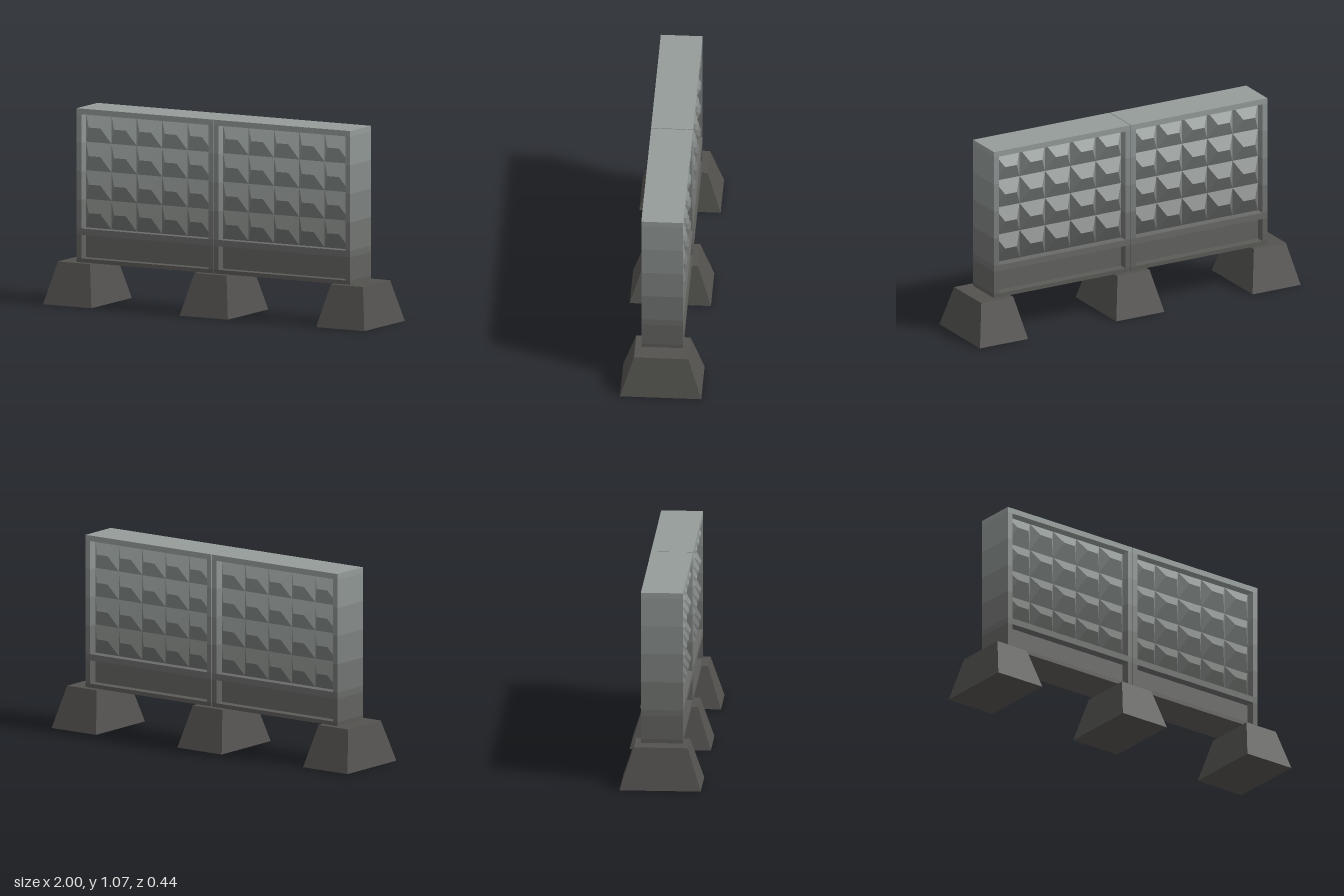
import * as THREE from 'three';
import { mergeGeometries } from 'three/addons/utils/BufferGeometryUtils.js';

const BASE_H = 0.228, TOP = 1.068, HALF = 0.1135, RECESS = 0.05;
const PANEL_X = 0.427, PANEL_HALF = 0.425, OPEN_HALF = 0.395;
const STUDS_Y = 0.413, COLS = 5, ROWS = 4;
const STUD_W = (2 * OPEN_HALF) / COLS, STUD_H = 0.156;

// Weathered concrete: dark near the ground, paler and cooler towards the top
const LOW = new THREE.Color(0x5a5956), HIGH = new THREE.Color(0x959d9b);
const concrete = (color) => new THREE.MeshStandardMaterial({ color, flatShading: true });
const shadeAt = (y) => LOW.clone().lerp(HIGH, (y - BASE_H) / (TOP - BASE_H));

function add(parent, geometry, material, name) {
  const mesh = new THREE.Mesh(geometry, material);
  mesh.name = name;
  parent.add(mesh);
  return mesh;
}

// Foot: a box whose upper corners are drawn inwards
function footGeometry() {
  const g = new THREE.BoxGeometry(0.3, BASE_H, 0.44).toNonIndexed();
  const p = g.attributes.position;
  for (let i = 0; i < p.count; i++) {
    if (p.getY(i) > 0) {
      p.setX(i, Math.sign(p.getX(i)) * 0.1);
      p.setZ(i, Math.sign(p.getZ(i)) * 0.147);
    }
  }
  g.translate(0, BASE_H / 2, 0);
  g.computeVertexNormals();
  return g;
}

// Stud: a hipped block with a short horizontal ridge
function studGeometry(w, h, depth) {
  const a = [-w / 2, -h / 2, 0], b = [w / 2, -h / 2, 0];
  const c = [w / 2, h / 2, 0], d = [-w / 2, h / 2, 0];
  const l = [-w * 0.23, h * 0.05, depth], r = [w * 0.23, h * 0.05, depth];
  const faces = [a, b, r, a, r, l, b, c, r, c, d, l, c, l, r, d, a, l];
  const g = new THREE.BufferGeometry();
  g.setAttribute('position', new THREE.Float32BufferAttribute(faces.flat(), 3));
  g.computeVertexNormals();
  return g;
}

// One row of studs across the opening
function studRow() {
  const parts = [];
  for (let i = 0; i < COLS; i++) {
    parts.push(studGeometry(STUD_W, STUD_H, 0.045).translate((i + 0.5) * STUD_W - OPEN_HALF, 0, 0));
  }
  return mergeGeometries(parts);
}

// Solid rail across the whole panel
function addRail(panel, name, y0, y1) {
  const y = (y0 + y1) / 2;
  const rail = new THREE.BoxGeometry(2 * PANEL_HALF, y1 - y0, 2 * HALF);
  add(panel, rail, concrete(shadeAt(y)), name).position.y = y;
}

// Open course: a post at each end and a recessed infill on both faces
function addCourse(panel, name, y0, y1, infill) {
  const course = new THREE.Group();
  course.name = name;
  course.position.y = (y0 + y1) / 2;
  const material = concrete(shadeAt(course.position.y));
  const post = new THREE.BoxGeometry(PANEL_HALF - OPEN_HALF, y1 - y0, 2 * HALF);
  for (const side of [-1, 1]) {
    add(course, post, material, 'post').position.x = side * (PANEL_HALF + OPEN_HALF) / 2;
    const face = add(course, infill, material, 'infill');
    face.position.z = side * (HALF - RECESS);
    if (side < 0) face.rotation.y = Math.PI;
  }
  panel.add(course);
}

function createPanel(name) {
  const panel = new THREE.Group();
  panel.name = name;
  addRail(panel, 'bottomRail', BASE_H, 0.25);
  addCourse(panel, 'lowerRecess', 0.25, 0.378, new THREE.PlaneGeometry(2 * OPEN_HALF, 0.128));
  addRail(panel, 'middleRail', 0.378, STUDS_Y);
  const studs = studRow();
  for (let j = 0; j < ROWS; j++) {
    const y = STUDS_Y + j * STUD_H;
    addCourse(panel, 'studCourse' + (j + 1), y, y + STUD_H, studs);
  }
  addRail(panel, 'topRail', STUDS_Y + ROWS * STUD_H, TOP);
  return panel;
}

export function createModel() {
  const model = new THREE.Group();
  model.name = 'concreteFence';

  // Three feet
  const foot = footGeometry(), footMaterial = concrete(0x53524f);
  [['rightFoot', -0.85], ['middleFoot', 0], ['leftFoot', 0.85]].forEach(([name, x]) => {
    add(model, foot, footMaterial, name).position.x = x;
  });

  // Two panels side by side with a narrow seam
  [['rightPanel', -PANEL_X], ['leftPanel', PANEL_X]].forEach(([name, x]) => {
    const panel = createPanel(name);
    panel.position.x = x - 0.001;
    model.add(panel);
  });

  return model;
}
